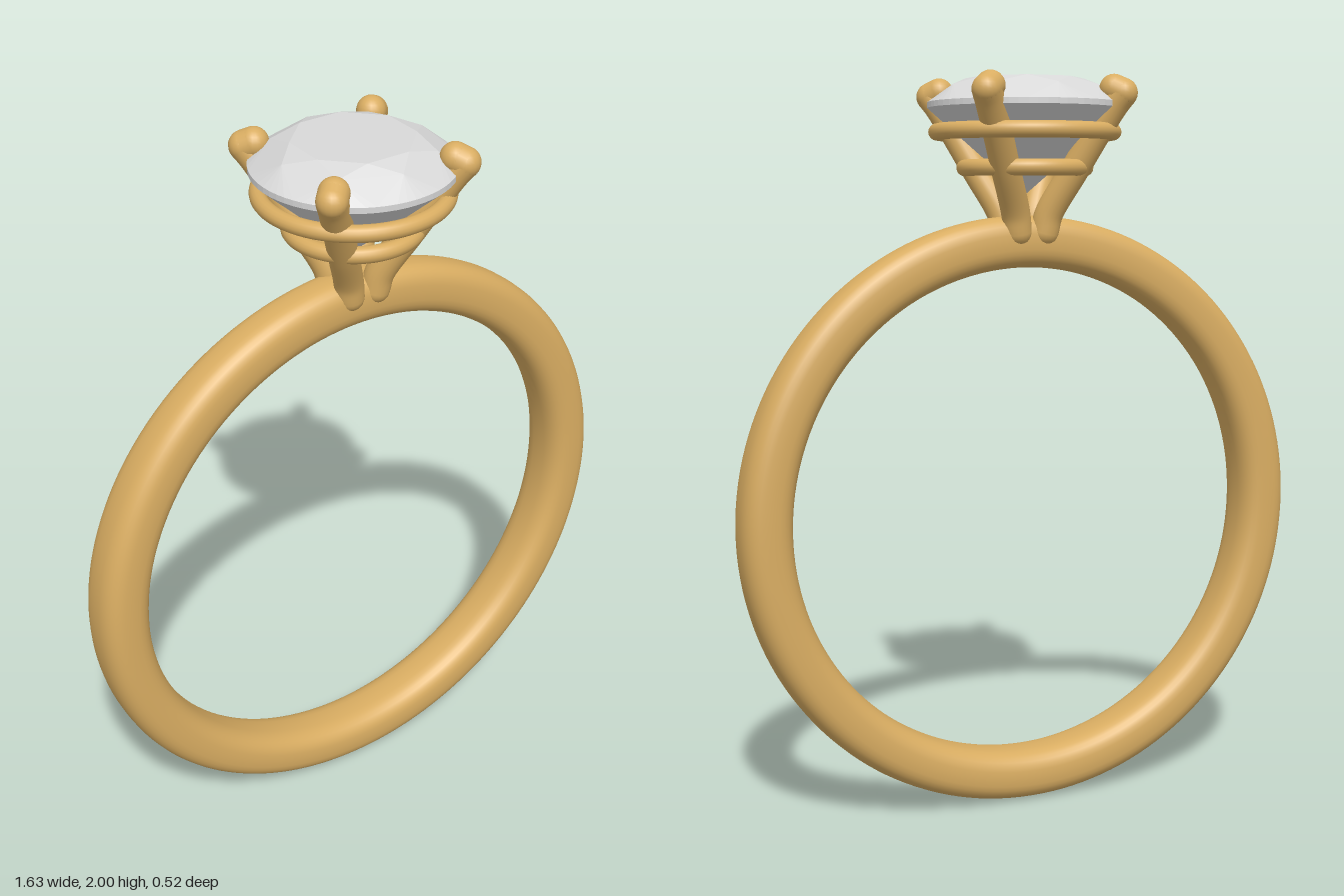
import * as THREE from 'three';
import { mergeVertices } from 'three/addons/utils/BufferGeometryUtils.js';
import { ConvexGeometry } from 'three/addons/geometries/ConvexGeometry.js';

const gold = new THREE.MeshStandardMaterial({ color: 0xd9ad62 });
gold.name = 'gold';
const crystal = new THREE.MeshStandardMaterial({ color: 0xd8d8d8 });
crystal.name = 'crystal';

function add(parent, name, geometry, material) {
  const mesh = new THREE.Mesh(geometry, material);
  mesh.name = name;
  parent.add(mesh);
  return mesh;
}

// Band: a torus reshaped to a soft rounded-box section, narrower near the top
function bandGeometry() {
  const R = 0.745, half = 0.07;
  const g = new THREE.TorusGeometry(R, half, 32, 160);
  const p = g.attributes.position, uv = g.attributes.uv;
  const soft = (s) => Math.sign(s) * Math.pow(Math.abs(s), 0.75);
  for (let i = 0; i < p.count; i++) {
    const a = uv.getX(i) * Math.PI * 2, v = uv.getY(i) * Math.PI * 2;
    const width = 0.08 - 0.015 * Math.pow(Math.max(0, Math.sin(a)), 1.5);
    const r = R + half * soft(Math.cos(v));
    p.setXYZ(i, r * Math.cos(a), r * Math.sin(a) + 0.815, width * soft(Math.sin(v)));
  }
  g.deleteAttribute('uv');
  g.deleteAttribute('normal');
  const merged = mergeVertices(g, 1e-5);
  merged.computeVertexNormals();
  return merged;
}

// Stone: round brilliant cut as the hull of its facet corners
function stoneGeometry() {
  const points = [];
  const ring = (n, r, y, offset = 0) => {
    for (let i = 0; i < n; i++) {
      const a = ((i + offset) / n) * Math.PI * 2;
      points.push(new THREE.Vector3(r * Math.cos(a), y, r * Math.sin(a)));
    }
  };
  ring(8, 0.159, 1.994, 0.5); // table
  ring(8, 0.208, 1.974); // star facet tips
  ring(64, 0.262, 1.93); // girdle top
  ring(64, 0.262, 1.915); // girdle bottom
  ring(8, 0.065, 1.738); // lower facet tips
  points.push(new THREE.Vector3(0, 1.685, 0)); // culet
  return new ConvexGeometry(points);
}

export function createModel() {
  const model = new THREE.Group();
  model.name = 'solitaireRing';
  add(model, 'band', bandGeometry(), gold);
  add(model, 'stone', stoneGeometry(), crystal);

  // Basket rails under the stone
  for (const [name, R, y] of [['upperRail', 0.238, 1.852], ['lowerRail', 0.163, 1.757]]) {
    const rail = add(model, name, new THREE.TorusGeometry(R, 0.022, 16, 80), gold);
    rail.rotation.x = Math.PI / 2;
    rail.position.y = y;
  }

  // Four diagonal prongs, each a leaning stem with a hooked, rounded tip
  const radius = 0.039;
  const at = ([a, y]) => new THREE.Vector3(a, y, a);
  const stem = [[0.04, 1.585], [0.049, 1.635], [0.1, 1.75], [0.149, 1.86], [0.18, 1.925], [0.195, 1.95]].map(at);
  const tip = [[0.195, 1.95], [0.177, 1.961]].map(at);
  const stemGeometry = new THREE.TubeGeometry(new THREE.CatmullRomCurve3(stem), 40, radius, 20);
  const tipGeometry = new THREE.TubeGeometry(new THREE.LineCurve3(tip[0], tip[1]), 2, radius, 20);
  const ballGeometry = new THREE.SphereGeometry(radius, 20, 14);
  for (let i = 0; i < 4; i++) {
    const prong = new THREE.Group();
    prong.name = 'prong' + (i + 1);
    add(prong, 'prongStem', stemGeometry, gold);
    add(prong, 'prongTip', tipGeometry, gold);
    add(prong, 'prongFoot', ballGeometry, gold).position.copy(stem[0]);
    add(prong, 'prongElbow', ballGeometry, gold).position.copy(tip[0]);
    add(prong, 'prongEnd', ballGeometry, gold).position.copy(tip[1]);
    prong.rotation.y = (i * Math.PI) / 2;
    model.add(prong);
  }
  return model;
}
